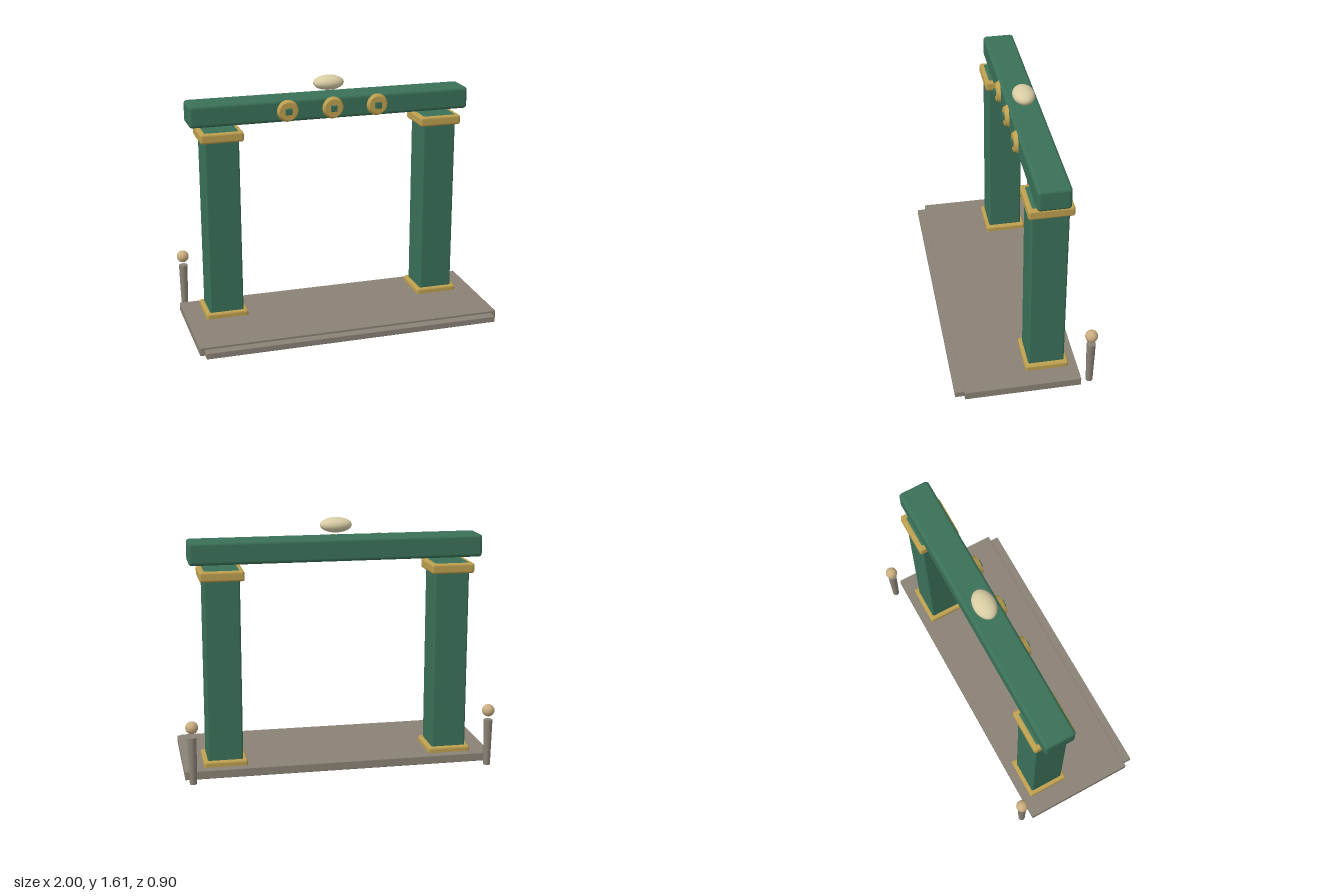
import * as THREE from 'three';
import { RoundedBoxGeometry } from 'three/addons/geometries/RoundedBoxGeometry.js';

const paint = (color) => new THREE.MeshStandardMaterial({ color });

export function createModel() {
  const model = new THREE.Group();
  const green = paint(0x3a7058);
  const gold = paint(0xbd9f4e);
  const stone = paint(0x8a8276);
  const tan = paint(0xc9ae80);
  const ivory = paint(0xd8cca4);

  const add = (name, geometry, material, x, y, z) => {
    const mesh = new THREE.Mesh(geometry, material);
    mesh.name = name;
    mesh.position.set(x, y, z);
    model.add(mesh);
    return mesh;
  };
  // Rounded block given by its x centre, width, y range and z range
  const block = (name, material, x, w, y0, y1, z0, z1, r) =>
    add(name, new RoundedBoxGeometry(w, y1 - y0, z1 - z0, 3, r), material,
      x, (y0 + y1) / 2, (z0 + z1) / 2);

  // Ground slab, low front step and the panel let into the underside
  block('platform', stone, 0, 2, 0.002, 0.057, -0.35, 0.392, 0.004);
  block('frontStep', stone, 0, 1.94, 0.002, 0.042, 0.3, 0.45, 0.004);
  add('undersidePanel', new THREE.BoxGeometry(0.72, 0.01, 0.34), gold, 0, 0.005, -0.01);

  for (const side of [-1, 1]) {
    const x = side * 0.735;
    // Column with gold base and collar; its top shows inside the collar
    block('column', green, x, 0.225, 0.03, 1.317, -0.27, -0.04, 0.012);
    block('columnBase', gold, x, 0.28, 0.03, 0.093, -0.295, -0.017, 0.015);
    block('columnCapital', gold, x, 0.28, 1.248, 1.313, -0.295, -0.017, 0.015);

    // Tapered post with a ball behind the platform
    add('post', new THREE.CylinderGeometry(0.029, 0.022, 0.305, 16), stone, side * 0.955, 0.1525, -0.412);
    add('postBall', new THREE.SphereGeometry(0.04, 24, 16), tan, side * 0.955, 0.367, -0.412);
  }

  // Lintel
  block('lintel', green, 0, 1.87, 1.345, 1.49, -0.26, -0.055, 0.022);

  // Gold discs with square studs on the lintel
  for (const x of [-0.3, 0, 0.3]) {
    const disc = add('disc', new THREE.CylinderGeometry(0.058, 0.072, 0.026, 32), gold, x, 1.418, -0.044);
    disc.rotation.x = Math.PI / 2;
    block('discStud', green, x, 0.042, 1.398, 1.438, -0.05, -0.018, 0.004);
  }

  // Egg-shaped finial
  const finial = add('finial', new THREE.SphereGeometry(1, 32, 20), ivory, 0, 1.563, -0.155);
  finial.scale.set(0.102, 0.048, 0.07);

  return model;
}
